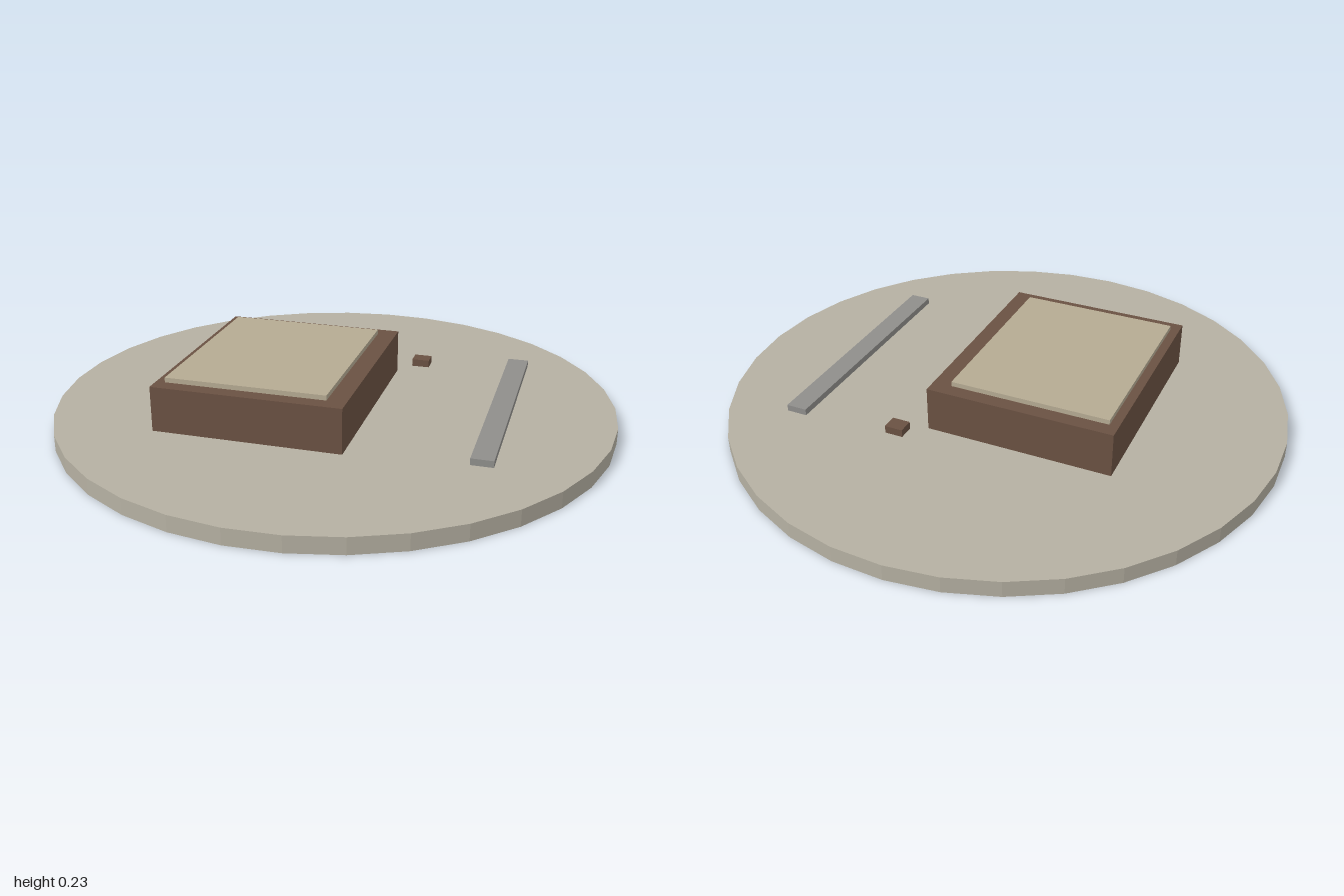
import * as THREE from 'three';

const material = (color) => new THREE.MeshStandardMaterial({ color, flatShading: true });

// Box given by its [min, max] extent along each axis
function block(name, [x0, x1], [y0, y1], [z0, z1], mat) {
  const mesh = new THREE.Mesh(new THREE.BoxGeometry(x1 - x0, y1 - y0, z1 - z0), mat);
  mesh.position.set((x0 + x1) / 2, (y0 + y1) / 2, (z0 + z1) / 2);
  mesh.name = name;
  return mesh;
}

export function createModel() {
  const model = new THREE.Group();
  model.name = 'roundBaseWithBlocks';

  const stone = material(0xb5b0a2);
  const brown = material(0x6a5142);
  const tan = material(0xb5aa92);
  const grey = material(0x8f8e8b);

  // Thin round base with 35 sides, one corner pointing to +x
  const height = 0.057;
  const base = new THREE.Mesh(
    new THREE.CylinderGeometry(1, 1, height, 35, 1, false, Math.PI / 2), stone);
  base.position.y = height / 2;
  base.name = 'base';

  model.add(
    base,
    // Main block and the thin panel on its top
    block('mainBlock', [-0.512, 0.155], [height, 0.217], [-0.328, 0.456], brown),
    block('topPanel', [-0.48, 0.087], [0.21, 0.234], [-0.276, 0.404], tan),
    // Small block and long bar, both just clear of the base
    block('smallBlock', [0.205, 0.27], [0.067, 0.094], [-0.424, -0.368], brown),
    block('longBar', [0.567, 0.642], [0.078, 0.101], [-0.459, 0.457], grey),
  );
  return model;
}
